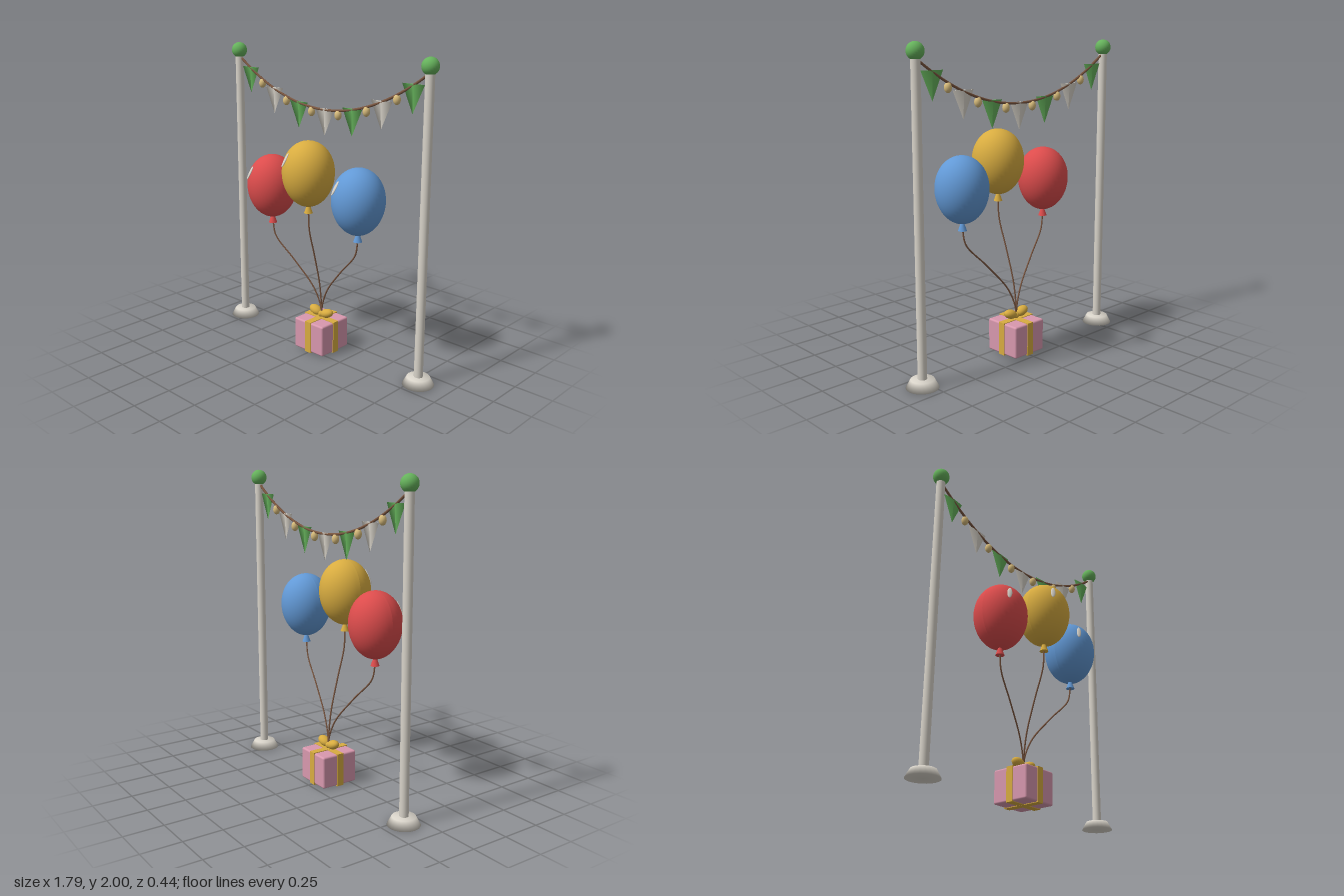
import * as THREE from 'three';
import { RoundedBoxGeometry } from 'three/addons/geometries/RoundedBoxGeometry.js';

const mat = (name, color) => Object.assign(new THREE.MeshStandardMaterial({ color }), { name });

export function createModel() {
  const root = new THREE.Group();
  root.name = 'partyDecoration';
  const M = {
    white: mat('offWhite', 0xd8d3c9),
    green: mat('green', 0x66b25c),
    brown: mat('stringBrown', 0x7a5640),
    bulb: mat('warmBulb', 0xd8bc7c),
    red: mat('balloonRed', 0xdc4c4c),
    yellow: mat('goldYellow', 0xd8ac40),
    blue: mat('balloonBlue', 0x6299d6),
    pink: mat('giftPink', 0xd898ae),
  };
  const add = (parent, name, geo, material, x = 0, y = 0, z = 0) => {
    const mesh = new THREE.Mesh(geo, material);
    mesh.name = name;
    mesh.position.set(x, y, z);
    parent.add(mesh);
    return mesh;
  };
  const group = (name) => {
    const g = new THREE.Group();
    g.name = name;
    root.add(g);
    return g;
  };
  const V = (x, y, z) => new THREE.Vector3(x, y, z);
  const poleX = 0.797, backZ = -0.115;

  // Poles with flared feet and ball finials
  const footProfile = [[0, 0], [0.1, 0], [0.072, 0.052], [0, 0.055]].map(([r, y]) => new THREE.Vector2(r, y));
  for (const s of [-1, 1]) {
    const g = group(s > 0 ? 'leftPole' : 'rightPole');
    g.position.set(s * poleX, 0, backZ);
    add(g, 'foot', new THREE.LatheGeometry(footProfile, 20), M.white);
    add(g, 'post', new THREE.CylinderGeometry(0.028, 0.028, 1.9, 20), M.white, 0, 0.98, 0);
    add(g, 'finial', new THREE.SphereGeometry(0.052, 24, 16), M.green, 0, 1.948, 0);
  }

  // Sagging line with flags and bulbs
  const bunting = group('bunting');
  const sag = (x) => 1.62 + 0.27 * (x / 0.77) ** 2;
  const linePoints = [];
  for (let i = 0; i <= 20; i++) {
    const x = -0.785 + (1.57 * i) / 20;
    linePoints.push(V(x, sag(x), backZ));
  }
  add(bunting, 'line', new THREE.TubeGeometry(new THREE.CatmullRomCurve3(linePoints), 60, 0.008, 8), M.brown);
  const flagGeo = new THREE.ConeGeometry(0.08, 0.173, 4).rotateX(Math.PI).scale(1, 1, 0.1);
  const bulbGeo = new THREE.SphereGeometry(0.023, 16, 12).scale(1, 1.35, 1);
  for (let i = -3; i <= 3; i++) {
    const x = i * 0.228;
    add(bunting, 'flag', flagGeo, i % 2 ? M.green : M.white, x, sag(x) - 0.079, backZ);
    if (i < 3) add(bunting, 'bulb', bulbGeo, M.bulb, x + 0.114, sag(x + 0.114) - 0.028, backZ);
  }

  // Gift box with crossed ribbons and a bow
  const gift = group('gift');
  gift.position.set(0, 0, -0.091);
  add(gift, 'box', new RoundedBoxGeometry(0.255, 0.21, 0.255, 3, 0.012), M.pink, 0, 0.112, 0);
  add(gift, 'ribbonFrontBack', new THREE.BoxGeometry(0.048, 0.218, 0.264), M.yellow, 0, 0.112, 0);
  add(gift, 'ribbonSides', new THREE.BoxGeometry(0.264, 0.217, 0.048), M.yellow, 0, 0.112, 0);
  for (const s of [-1, 1]) {
    const loop = add(gift, 'bowLoop', new THREE.SphereGeometry(1, 20, 14), M.yellow, s * 0.05, 0.258, 0);
    loop.scale.set(0.05, 0.03, 0.034);
    loop.rotation.z = s * 0.3;
  }
  add(gift, 'bowKnot', new THREE.SphereGeometry(0.022, 16, 12), M.yellow, 0, 0.242, 0);

  // Balloon body: a sphere tapering slightly toward the knot
  const body = new THREE.SphereGeometry(1, 40, 28);
  const p = body.attributes.position;
  for (let i = 0; i < p.count; i++) {
    const y = p.getY(i), k = 0.167 * (1 + 0.04 * y);
    p.setXYZ(i, p.getX(i) * k, y * 0.211, p.getZ(i) * k);
  }
  body.computeVertexNormals();

  // Balloons with knot, glint and tether
  const tie = V(0, 0.24, -0.093);
  const path = [[1, 1], [0.94, 0.84], [0.56, 0.59], [0.17, 0.31], [0.03, 0.12], [0, 0]];
  const balloons = [
    ['redBalloon', M.red, -0.352, 1.091, 0.012],
    ['yellowBalloon', M.yellow, 0.021, 1.239, 0.055],
    ['blueBalloon', M.blue, 0.381, 1.112, -0.008],
  ];
  for (const [name, material, x, y, z] of balloons) {
    const g = group(name);
    add(g, 'body', body, material, x, y, z);
    add(g, 'knot', new THREE.CylinderGeometry(0.012, 0.028, 0.046, 16), material, x, y - 0.232, z);
    const glint = add(g, 'glint', new THREE.SphereGeometry(1, 16, 10), M.white, x - 0.071, y + 0.097, z + 0.134);
    glint.scale.set(0.016, 0.05, 0.006);
    glint.lookAt(x - 0.071 - 0.435, y + 0.097 + 0.395, z + 0.134 + 0.81);
    glint.rotateZ(-0.2);
    const top = V(x, y - 0.25, z);
    const pts = path.map(([h, v]) => V(
      tie.x + (top.x - tie.x) * h, tie.y + (top.y - tie.y) * v, tie.z + (top.z - tie.z) * h));
    add(g, 'tether', new THREE.TubeGeometry(new THREE.CatmullRomCurve3(pts), 48, 0.005, 6), M.brown);
  }
  return root;
}
